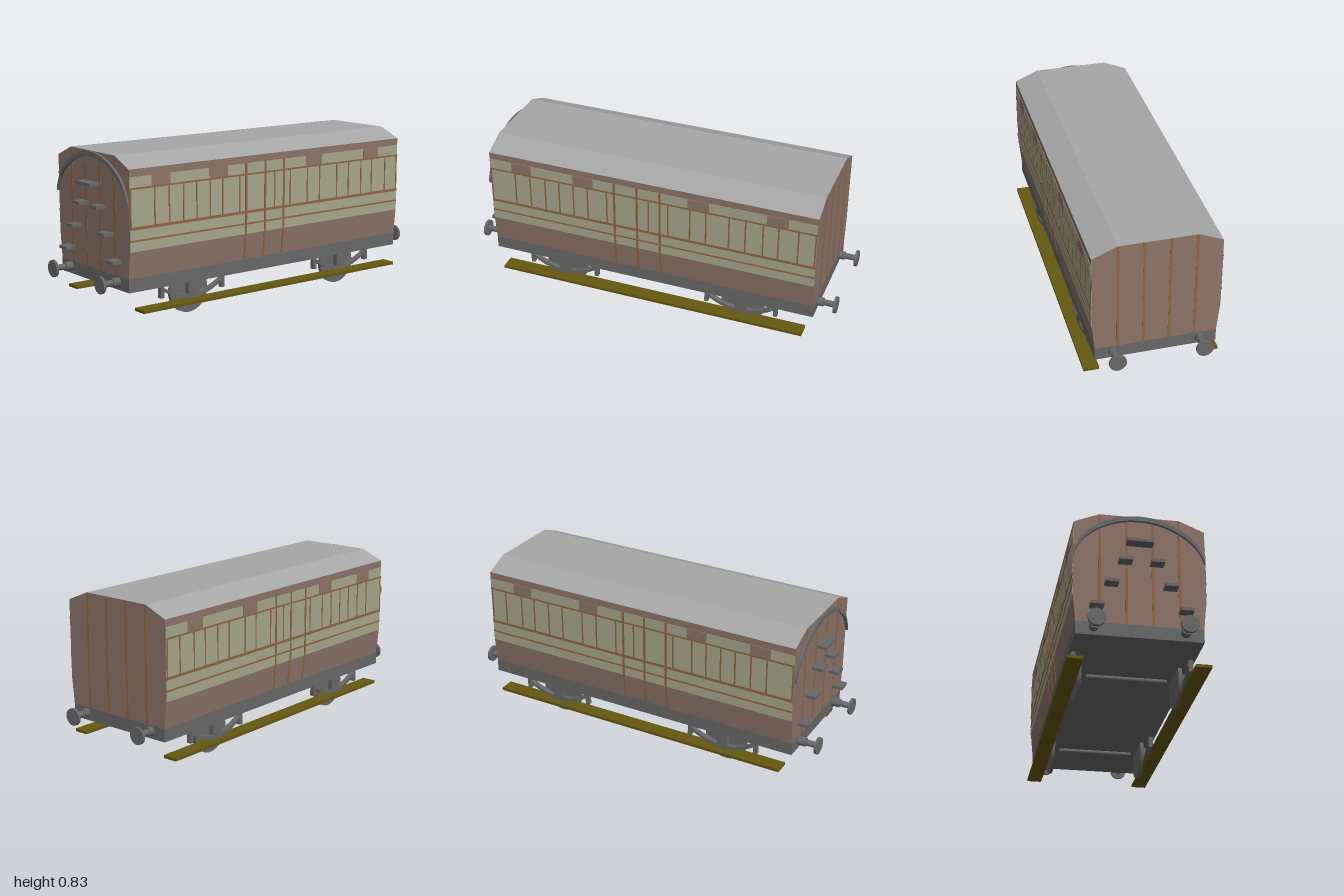
import * as THREE from 'three';

const material = (name, color) => {
  const m = new THREE.MeshStandardMaterial({ color });
  m.name = name;
  return m;
};

export function createModel() {
  const model = new THREE.Group();
  model.name = 'railwayCarriage';
  const brown = material('bodyBrown', 0x8c7468);
  const cream = material('panelCream', 0xa6a68c);
  const trim = material('trimBrown', 0x8f6444);
  const roofGrey = material('roofGrey', 0xa6a6a6);
  const iron = material('ironGrey', 0x686868);
  const wood = material('footboardOlive', 0x665810);

  const CX = -0.01, BACK = -0.898, FRONT = 0.888;
  const LENGTH = FRONT - BACK, MID = (FRONT + BACK) / 2;

  const add = (name, geometry, mat, x = 0, y = 0, z = 0) => {
    const mesh = new THREE.Mesh(geometry, mat);
    mesh.name = name;
    mesh.position.set(x, y, z);
    model.add(mesh);
    return mesh;
  };
  const box = (name, mat, w, h, d, x, y, z) =>
    add(name, new THREE.BoxGeometry(w, h, d), mat, x, y, z);
  const shapeOf = (points) => new THREE.Shape(points.map(([x, y]) => new THREE.Vector2(x, y)));
  const extrude = (shape, depth) =>
    new THREE.ExtrudeGeometry(shape, { depth, bevelEnabled: false });

  // Body shell, tapering in towards the floor
  add('body', extrude(shapeOf([
    [-0.309, 0.237], [0.309, 0.237], [0.323, 0.38], [0.323, 0.775], [-0.323, 0.775], [-0.323, 0.38],
  ]), LENGTH), brown, CX, 0, BACK);

  // Roof: brown gable ends, grey covering
  add('roof', extrude(shapeOf([
    [-0.323, 0.775], [0.323, 0.775], [0.198, 0.828], [-0.198, 0.828],
  ]), LENGTH), [brown, roofGrey], CX, 0, BACK);

  // Underframe
  box('underframe', iron, 0.618, 0.067, LENGTH, CX, 0.2035, MID);

  // Curved rim on the front end
  const arc = [[0.323, 0.614], [0.29, 0.685], [0.25, 0.732], [0.19, 0.775], [0.1, 0.813]];
  const arch = (drop) => new THREE.CatmullRomCurve3([
    ...arc.map(([x, y]) => new THREE.Vector3(-x, y - drop, 0)),
    new THREE.Vector3(0, 0.826 - drop, 0),
    ...arc.map(([x, y]) => new THREE.Vector3(x, y - drop, 0)).reverse(),
  ]).getPoints(32).map((p) => [p.x, p.y]);
  add('frontRim', extrude(shapeOf([...arch(0), ...arch(0.025).reverse()]), 0.016),
    iron, CX, 0, FRONT - 0.002);

  // Steps up the front end
  for (const [x, y, w] of [
    [0, 0.67, 0.13], [-0.071, 0.565, 0.065], [0.085, 0.565, 0.065], [-0.138, 0.44, 0.065],
    [0.15, 0.44, 0.065], [-0.209, 0.315, 0.065], [0.222, 0.315, 0.065],
  ]) box('endStep', iron, w, 0.016, 0.058, x - 0.012, y, FRONT + 0.027);

  // Vertical battens on both ends
  for (const x of [-0.205, -0.075, 0.055, 0.185])
    for (const z of [FRONT, BACK])
      box('endBatten', trim, 0.013, 0.586, 0.003, x, 0.532, z);

  // Side panelling
  const fullBars = [0.18, 0.055, -0.07];
  const windowBars = [0.882, 0.743, 0.657, 0.571, 0.491, 0.41, 0.33, 0.222, -0.008, -0.115, -0.233,
    -0.319, -0.442, -0.528, -0.62, -0.7, -0.802, -0.89];
  const headPlates = [0.705, 0.355, -0.278, -0.692];
  for (const side of [-1, 1]) {
    const x = CX + side * 0.323;
    box('creamPanel', cream, 0.004, 0.365, LENGTH - 0.004, x, 0.5555, MID);
    for (const [y, h] of [[0.681, 0.009], [0.487, 0.014], [0.426, 0.009]])
      box('sideRail', trim, 0.008, h, LENGTH - 0.002, x, y, MID);
    for (const z of windowBars) box('windowBar', trim, 0.007, 0.19, 0.008, x, 0.584, z);
    for (const z of headPlates) box('headPlate', brown, 0.007, 0.055, 0.112, x, 0.711, z);
    for (const z of fullBars) {
      box('doorBar', trim, 0.008, 0.36, 0.012, x, 0.56, z);
      const lower = box('doorBarLower', trim, 0.006, 0.14, 0.01, CX + side * 0.316, 0.309, z);
      lower.rotation.z = -side * Math.atan(0.014 / 0.143);
    }
  }

  // Buffers at the four corners
  const rod = (name, r, length, x, y, z, axis, sides = 24) => {
    const geometry = new THREE.CylinderGeometry(r, r, length, sides);
    if (axis === 'z') geometry.rotateX(Math.PI / 2);
    else geometry.rotateZ(Math.PI / 2);
    return add(name, geometry, iron, x, y, z);
  };
  for (const end of [-1, 1])
    for (const x of [-0.232, 0.208]) {
      rod('bufferShank', 0.016, 0.11, x, 0.21, end * 0.935, 'z', 16);
      rod('bufferCollar', 0.023, 0.04, x, 0.21, end * 0.908, 'z', 16);
      rod('bufferHead', 0.044, 0.014, x, 0.21, end * 0.993, 'z');
    }

  // Leaf spring seen from the side: a crescent sagging at the middle
  const spring = new THREE.Shape();
  spring.moveTo(-0.18, 0.162);
  spring.quadraticCurveTo(0, 0.05, 0.18, 0.162);
  spring.lineTo(0.18, 0.146);
  spring.quadraticCurveTo(0, 0.025, -0.18, 0.146);
  spring.closePath();
  const springGeometry = extrude(spring, 0.026).rotateY(Math.PI / 2).translate(-0.013, 0, 0);

  // Running gear
  for (const z of [0.496, -0.507]) {
    rod('axle', 0.0125, 0.405, -0.008, 0.134, z, 'x', 16);
    for (const side of [-1, 1]) {
      rod('wheel', 0.116, 0.019, -0.008 + side * 0.2485, 0.118, z, 'x', 32);
      const x = -0.012 + side * 0.288;
      add('leafSpring', springGeometry, iron, x, 0, z);
      box('axleBox', iron, 0.026, 0.09, 0.06, x, 0.13, z);
      for (const end of [-1, 1])
        box('springHanger', iron, 0.024, 0.065, 0.02, x, 0.142, z + end * 0.188);
    }
  }

  // Long footboards
  for (const x of [-0.31, 0.306])
    box('footboard', wood, 0.079, 0.015, 1.69, x, 0.076, -0.01);

  return model;
}
